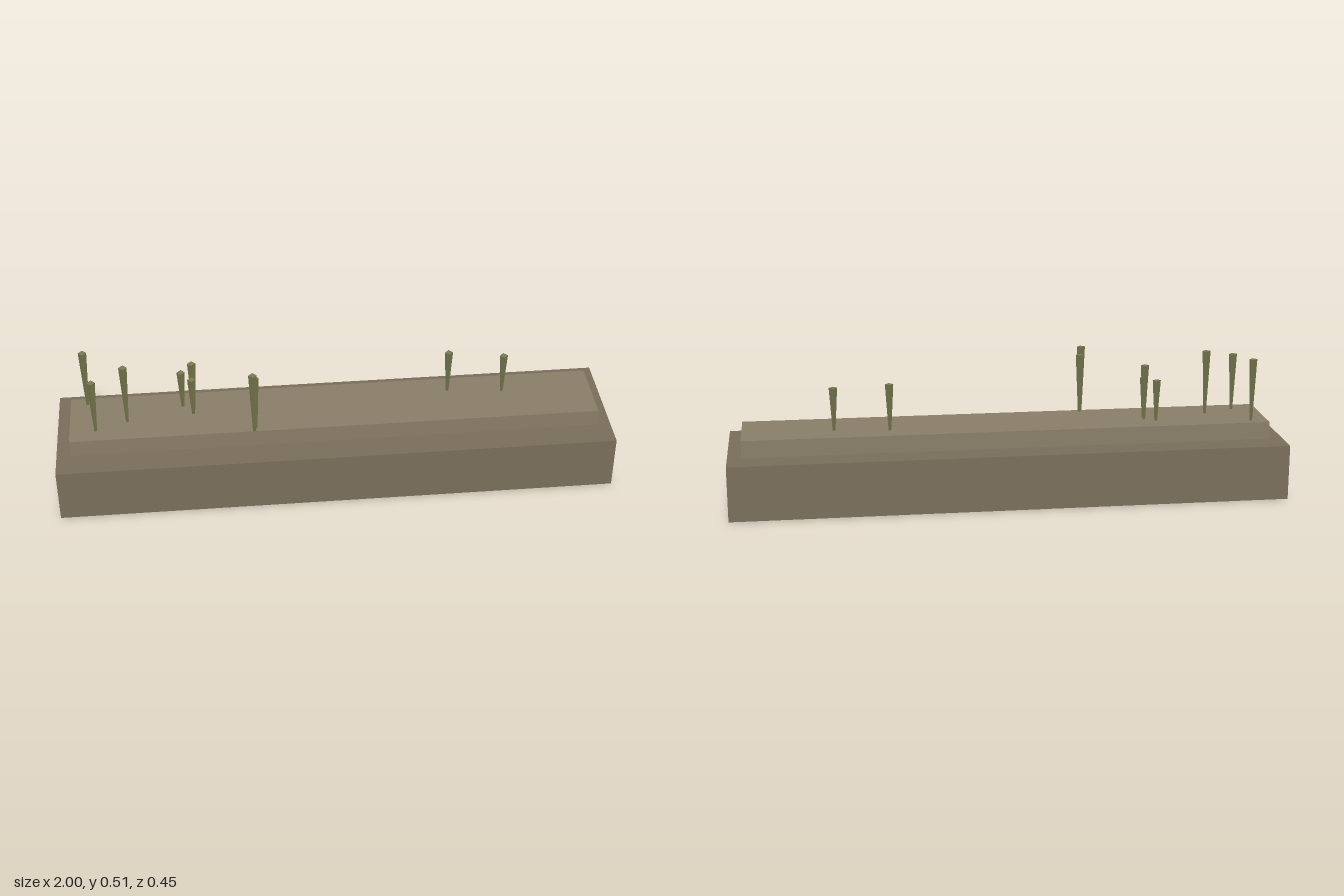
import * as THREE from 'three';

const BASE_TOP = 0.2, LEDGE_TOP = 0.2625;

function addMesh(parent, name, geometry, material, x, y, z) {
  const mesh = new THREE.Mesh(geometry, material);
  mesh.name = name;
  mesh.position.set(x, y, z);
  parent.add(mesh);
  return mesh;
}

export function createModel() {
  const group = new THREE.Group();
  group.name = 'spikedWall';
  const stone = new THREE.MeshStandardMaterial({ color: 0x7a6f5b });
  const capStone = new THREE.MeshStandardMaterial({ color: 0x8b7f69 });
  const stalk = new THREE.MeshStandardMaterial({ color: 0x7a7c50, flatShading: true });

  // Long block with a narrower slab on top
  addMesh(group, 'base', new THREE.BoxGeometry(2, BASE_TOP, 0.45), stone, 0, BASE_TOP / 2, 0);
  const slab = LEDGE_TOP - BASE_TOP;
  addMesh(group, 'topSlab', new THREE.BoxGeometry(1.9, slab, 0.25), capStone, 0, BASE_TOP + slab / 2, 0);

  // Four-sided stalks, wider at the top: [x, z, top height]
  const stalks = new THREE.Group();
  stalks.name = 'stalks';
  group.add(stalks);
  [
    [-0.889, -0.091, 0.491],
    [-0.857, 0.068, 0.474],
    [-0.745, 0.024, 0.499],
    [-0.545, -0.048, 0.413],
    [-0.508, 0, 0.413],
    [-0.505, -0.026, 0.465],
    [-0.295, 0.123, 0.506],
    [-0.288, 0.104, 0.48],
    [0.424, -0.052, 0.432],
    [0.622, -0.031, 0.42],
  ].forEach(([x, z, top]) => {
    const h = top - LEDGE_TOP;
    addMesh(stalks, 'stalk', new THREE.CylinderGeometry(0.015, 0.005, h, 4), stalk, x, LEDGE_TOP + h / 2, z);
  });

  return group;
}
